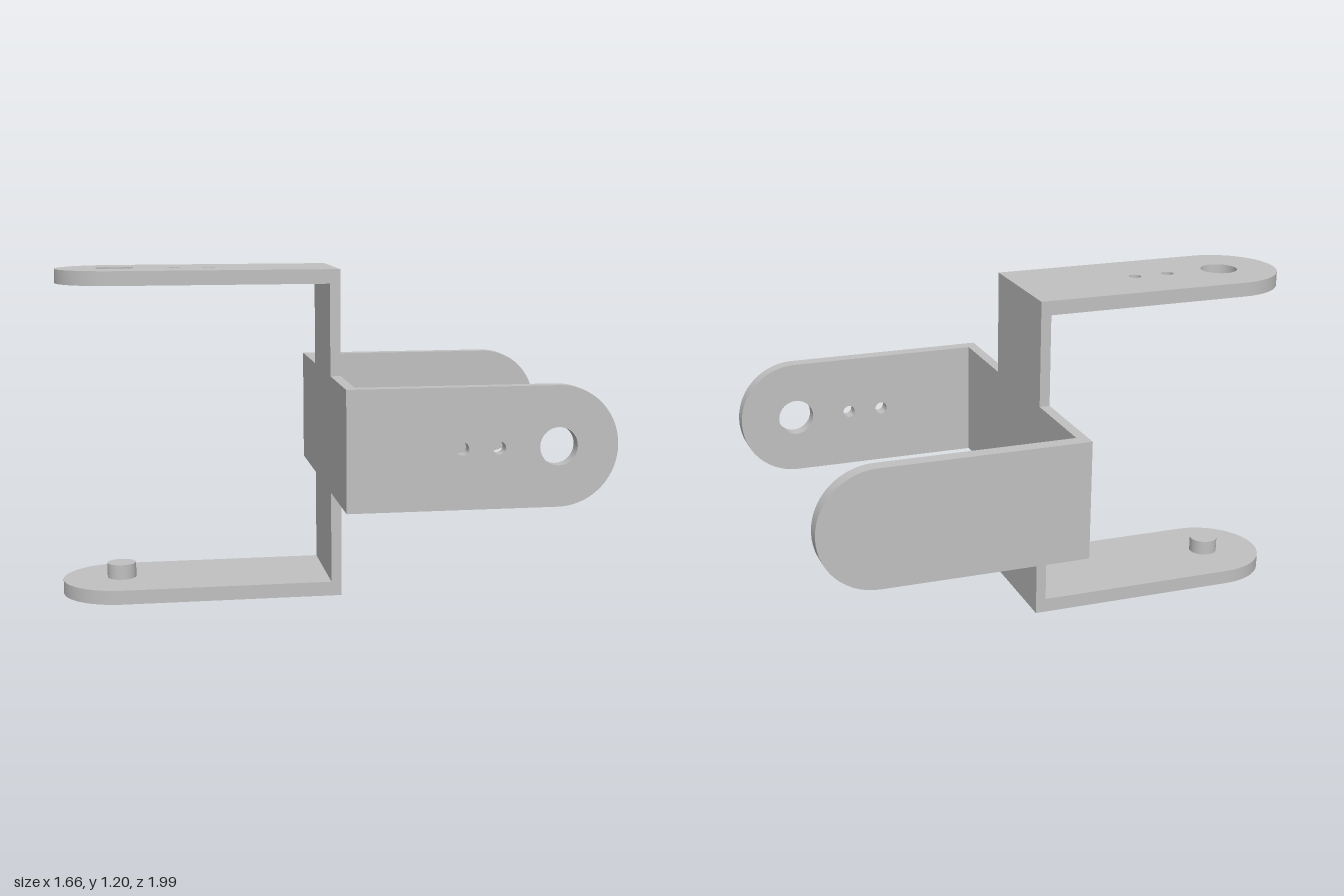
import * as THREE from 'three';
import { toCreasedNormals } from 'three/addons/utils/BufferGeometryUtils.js';

const HALF = 0.602;    // half the span of the cross, outside faces
const T = 0.052;       // arm thickness
const PLATE = 0.038;   // centre plate thickness
const R = 0.215;       // half the arm width
const PIN_R = 0.053;

// Strap from s = 0 to a round end centred at s = reach, optionally drilled
function strapGeometry(reach, drilled) {
  const shape = new THREE.Shape();
  shape.moveTo(0, -R);
  shape.lineTo(reach, -R);
  shape.absarc(reach, 0, R, -Math.PI / 2, Math.PI / 2, false);
  shape.lineTo(0, R);
  shape.closePath();
  if (drilled) {
    for (const [back, r] of [[0, 0.068], [0.213, 0.023], [0.344, 0.023]]) {
      const hole = new THREE.Path();
      hole.absarc(reach - back, 0, r, 0, Math.PI * 2, true);
      shape.holes.push(hole);
    }
  }
  const geo = new THREE.ExtrudeGeometry(shape, { depth: T, bevelEnabled: false, curveSegments: 14 });
  return toCreasedNormals(geo, 0.6);
}

// Flat cross joining the four arms
function crossGeometry() {
  const a = HALF - T;
  const shape = new THREE.Shape([
    [-R, -a], [R, -a], [R, -R], [a, -R], [a, R], [R, R],
    [R, a], [-R, a], [-R, R], [-a, R], [-a, -R], [-R, -R],
  ].map(([x, y]) => new THREE.Vector2(x, y)));
  return new THREE.ExtrudeGeometry(shape, { depth: PLATE, bevelEnabled: false });
}

export function createModel() {
  const metal = new THREE.MeshStandardMaterial({ color: 0xc0c0c0 });
  metal.name = 'grey metal';

  const model = new THREE.Group();
  model.name = 'crossBracket';
  const body = new THREE.Group();
  body.name = 'bracketBody';
  body.position.set(-0.202, HALF, 0.14);
  body.rotation.y = -THREE.MathUtils.degToRad(32.8);
  model.add(body);

  const add = (name, geo) => {
    const mesh = new THREE.Mesh(geo, metal);
    mesh.name = name;
    body.add(mesh);
    return mesh;
  };

  // Centre plate
  add('centrePlate', crossGeometry()).position.z = -PLATE;

  // Upper and lower arms run forward, side arms run backward
  const forward = new THREE.Matrix4().makeBasis(
    new THREE.Vector3(0, 0, 1), new THREE.Vector3(1, 0, 0), new THREE.Vector3(0, 1, 0));
  const backward = new THREE.Matrix4().makeBasis(
    new THREE.Vector3(0, 0, -1), new THREE.Vector3(0, 1, 0), new THREE.Vector3(1, 0, 0));
  const frontReach = 0.8, sideReach = 0.75;

  add('upperArm', strapGeometry(frontReach, true).applyMatrix4(forward)).position.set(0, HALF - T, -PLATE);
  add('lowerArm', strapGeometry(frontReach, false).applyMatrix4(forward)).position.set(0, -HALF, -PLATE);
  add('leftArm', strapGeometry(sideReach, true).applyMatrix4(backward)).position.set(HALF - T, 0, 0);
  add('rightArm', strapGeometry(sideReach, false).applyMatrix4(backward)).position.set(-HALF, 0, 0);

  // Pivot pins on the inner faces of the undrilled arms
  const pin = new THREE.CylinderGeometry(PIN_R, PIN_R, 0.055, 20);
  const inner = -HALF + T + 0.0275;
  add('lowerPin', pin).position.set(0, inner, frontReach - PLATE);
  const sidePin = add('sidePin', pin);
  sidePin.rotation.z = -Math.PI / 2;
  sidePin.position.set(inner, 0, -sideReach);

  return model;
}
